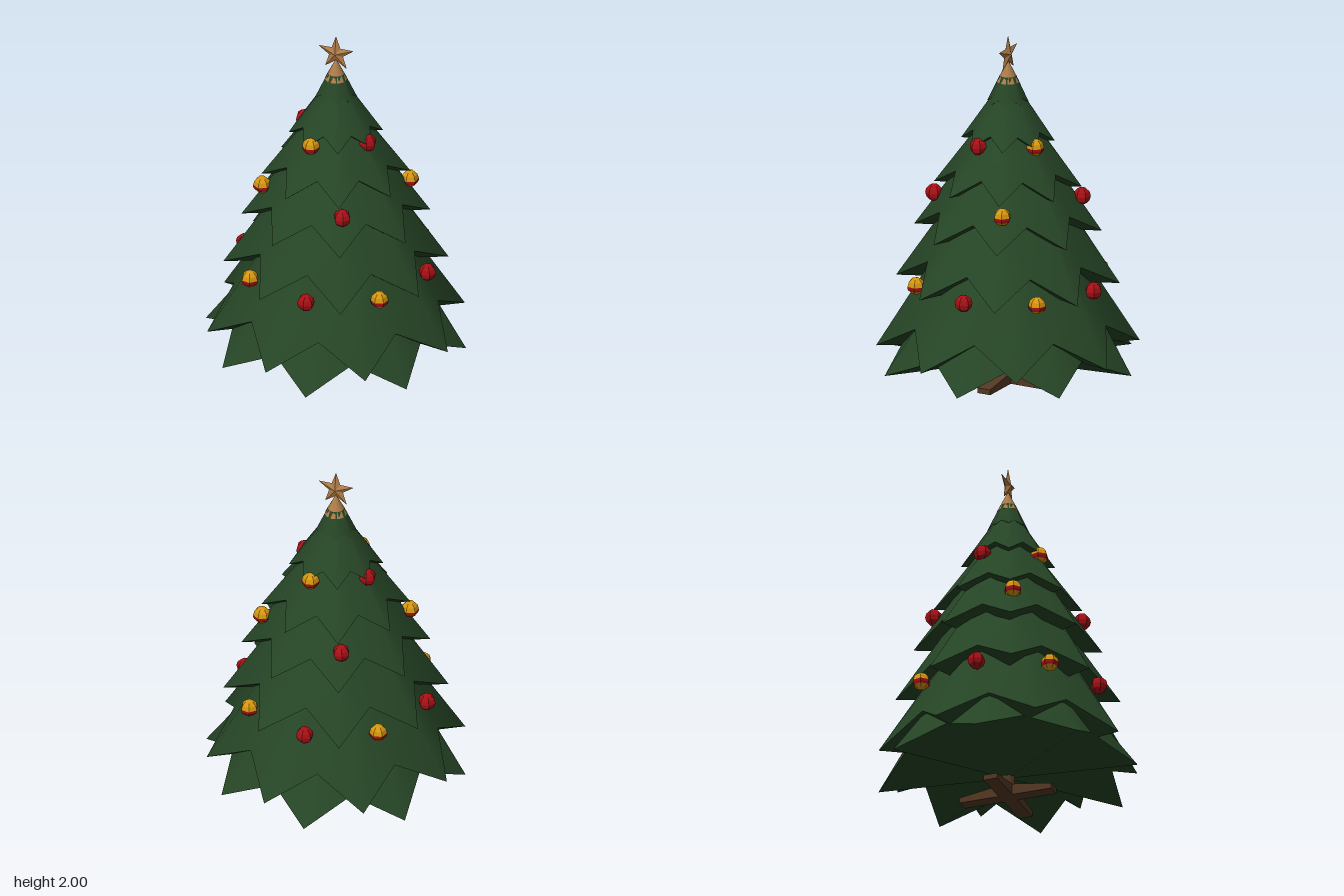
import * as THREE from 'three';

const mat = (name, color, extra = {}) => {
  const m = new THREE.MeshStandardMaterial({ color, ...extra });
  m.name = name;
  return m;
};

// Geometry from a flat list of points and a list of triangle corners
function meshGeometry(points, faces) {
  const g = new THREE.BufferGeometry();
  g.setAttribute('position', new THREE.Float32BufferAttribute(points, 3));
  g.setIndex(faces);
  return g;
}

// Skirt of branches: eight-pointed hem rising to a narrower ring
function skirtGeometry([tipR, tipY, valleyR, valleyY, topR, topY, phase]) {
  const n = 16, pts = [], faces = [];
  for (let i = 0; i < n; i++) {
    const a = THREE.MathUtils.degToRad(phase + i * 22.5);
    const [r, y] = i % 2 ? [valleyR, valleyY] : [tipR, tipY];
    pts.push(r * Math.cos(a), y, r * Math.sin(a), topR * Math.cos(a), topY, topR * Math.sin(a));
    const h = 2 * i, k = 2 * ((i + 1) % n);
    faces.push(h, h + 1, k, k, h + 1, k + 1);
  }
  const g = meshGeometry(pts, faces);
  g.computeVertexNormals();
  return g;
}

// Dark side of a skirt: fan from the hem to the middle
function undersideGeometry([tipR, tipY, valleyR, valleyY, , , phase]) {
  const pts = [0, tipY, 0], faces = [];
  for (let i = 0; i < 16; i++) {
    const a = THREE.MathUtils.degToRad(phase + i * 22.5);
    const [r, y] = i % 2 ? [valleyR, valleyY] : [tipR, tipY];
    pts.push(r * Math.cos(a), y, r * Math.sin(a));
    faces.push(0, i + 1, (i + 1) % 16 + 1);
  }
  const g = meshGeometry(pts, faces);
  g.computeVertexNormals();
  return g;
}

// Five-pointed star with a raised middle on both sides
function starGeometry(outer, inner, depth) {
  const pts = [0, 0, depth, 0, 0, -depth], faces = [];
  for (let i = 0; i < 10; i++) {
    const a = Math.PI / 2 + i * Math.PI / 5, r = i % 2 ? inner : outer;
    pts.push(r * Math.cos(a), r * Math.sin(a), 0);
    const p = i + 2, q = (i + 1) % 10 + 2;
    faces.push(0, p, q, 1, q, p);
  }
  const g = meshGeometry(pts, faces).toNonIndexed();
  g.computeVertexNormals();
  return g;
}

export function createModel() {
  const tree = new THREE.Group();
  tree.name = 'decoratedTree';
  const green = mat('needle green', 0x264526, { side: THREE.DoubleSide });
  const brown = mat('wood brown', 0x543824);
  const tan = mat('star tan', 0xad7b48);
  const red = mat('bauble red', 0xa61015, { flatShading: true });
  const gold = mat('bauble gold', 0xd6960f, { flatShading: true });

  const add = (parent, name, geometry, material, x = 0, y = 0, z = 0) => {
    const m = new THREE.Mesh(geometry, material);
    m.name = name;
    m.position.set(x, y, z);
    parent.add(m);
    return m;
  };

  // Branch skirts: tip radius, tip y, valley radius, valley y, top radius, top y, turn
  const skirts = [
    [0.735, 0.12, 0.57, 0.24, 0.42, 0.55, -7],
    [0.727, 0.22, 0.57, 0.38, 0.35, 0.82, 12],
    [0.62, 0.59, 0.46, 0.73, 0.26, 1.12, 22.5],
    [0.52, 0.89, 0.39, 1.01, 0.20, 1.34, 22.5],
    [0.41, 1.14, 0.30, 1.24, 0.13, 1.52, 22.5],
    [0.26, 1.40, 0.20, 1.47, 0.07, 1.68, 22.5],
    [0.115, 1.62, 0.09, 1.65, 0.045, 1.77, 22.5],
  ];
  skirts.forEach((s, i) => {
    add(tree, `branchSkirt${i + 1}`, skirtGeometry(s), green);
    add(tree, `branchUnderside${i + 1}`, undersideGeometry(s), green);
  });

  // Trunk and crossed stand
  add(tree, 'trunk', new THREE.CylinderGeometry(0.04, 0.042, 0.3, 8), brown, 0, 0.17, 0);
  const profile = [[-0.27, 0], [0.27, 0], [0.27, 0.03], [0.06, 0.062], [-0.06, 0.062], [-0.27, 0.03]];
  const beam = new THREE.ExtrudeGeometry(
    new THREE.Shape(profile.map(([x, y]) => new THREE.Vector2(x, y))),
    { depth: 0.08, bevelEnabled: false }
  ).translate(0, 0, -0.04);
  add(tree, 'standBeam', beam, brown);
  add(tree, 'standCrossBeam', beam, brown).rotation.y = Math.PI / 2;

  // Treetop cap and star
  add(tree, 'starCap', new THREE.ConeGeometry(0.062, 0.125, 12), tan, 0, 1.797, 0);
  add(tree, 'star', starGeometry(0.108, 0.043, 0.02), tan, 0, 1.892, 0);

  // Baubles in three rings; the gold ones wear a red band below the middle
  const ball = new THREE.SphereGeometry(0.049, 6, 6);
  const band = new THREE.SphereGeometry(0.051, 6, 1, 0, Math.PI * 2, Math.PI / 2, Math.PI / 6);
  const rings = [
    { y: 0.602, count: 8, radius: 0.53, turn: -2, goldFirst: false },
    { y: 1.082, count: 4, radius: 0.408, turn: 65, goldFirst: false },
    { y: 1.405, count: 4, radius: 0.222, turn: 18, goldFirst: false },
  ];
  rings.forEach(({ y, count, radius, turn }) => {
    for (let i = 0; i < count; i++) {
      const a = THREE.MathUtils.degToRad(turn + i * 360 / count);
      const isGold = i % 2 === 1;
      const bauble = new THREE.Group();
      bauble.name = isGold ? 'goldBauble' : 'redBauble';
      bauble.position.set(radius * Math.cos(a), y, radius * Math.sin(a));
      bauble.rotation.y = -a;
      add(bauble, 'ball', ball, isGold ? gold : red);
      if (isGold) add(bauble, 'band', band, red);
      tree.add(bauble);
    }
  });
  return tree;
}
